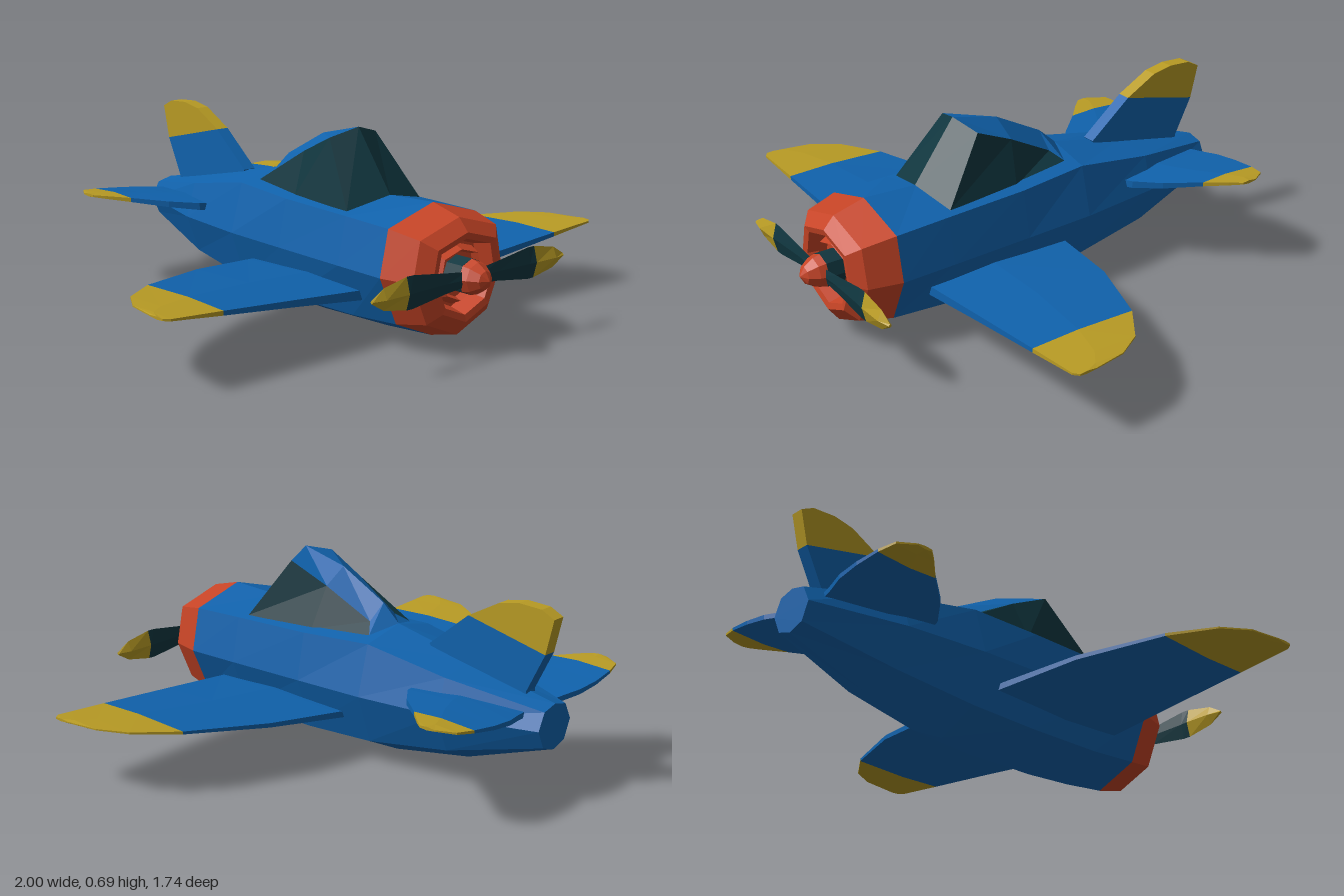
import * as THREE from 'three';

const BLUE = 0x1062ac, RED = 0xc64426, YELLOW = 0xb89b24, DARK = 0x10363f;

function makeMesh(name, geometry, color) {
  const material = new THREE.MeshStandardMaterial({ color, flatShading: true, side: THREE.DoubleSide });
  const mesh = new THREE.Mesh(geometry, material);
  mesh.name = name;
  return mesh;
}

function fromTriangles(points) {
  const geometry = new THREE.BufferGeometry();
  geometry.setAttribute('position', new THREE.Float32BufferAttribute(points.flat(), 3));
  geometry.computeVertexNormals();
  return geometry;
}

// Skin through equal-sized rings of points, closed at both ends
function loft(rings) {
  const tris = [], n = rings[0].length, last = rings[rings.length - 1];
  for (let i = 0; i < rings.length - 1; i++) {
    const a = rings[i], b = rings[i + 1];
    for (let j = 0; j < n; j++) {
      const k = (j + 1) % n;
      tris.push(a[j], b[j], b[k], a[j], b[k], a[k]);
    }
  }
  for (let j = 1; j < n - 1; j++) {
    tris.push(rings[0][0], rings[0][j], rings[0][j + 1]);
    tris.push(last[0], last[j + 1], last[j]);
  }
  return fromTriangles(tris);
}

// Flat polygons, each fanned from its first corner
function panels(polygons) {
  const tris = [];
  for (const p of polygons)
    for (let j = 1; j < p.length - 1; j++) tris.push(p[0], p[j], p[j + 1]);
  return fromTriangles(tris);
}

const mirrorRing = ring => ring.map(([x, y, z]) => [-x, y, z]).reverse();
const mirrorPolygon = mirrorRing;

// Eight-sided body section
const bodyRing = ([z, top, yu, xu, ym, xm, yl, xl, bottom]) => [
  [xm, ym, z], [xu, yu, z], [0, top, z], [-xu, yu, z],
  [-xm, ym, z], [-xl, yl, z], [0, bottom, z], [xl, yl, z]];

// Aerofoil section: blunt front, thickest at mid chord
function foilRing([x, y, front, back, t]) {
  const mid = front * 0.55 + back * 0.45;
  return [[x, y - t * 0.6, front], [x, y + t * 0.6, front], [x, y + t, mid],
    [x, y + t * 0.4, back], [x, y - t * 0.4, back], [x, y - t, mid]];
}

// Diamond section of a propeller blade
const bladeRing = ([x, y, h, t]) => [[x, y, 0.795 + t], [x, y + h, 0.795], [x, y, 0.795 - t], [x, y - h, 0.795]];

// Mirrored pair of surfaces with yellow tips starting at column `split`
function addPair(group, name, rings, split, color) {
  for (const [side, map] of [['left', r => r], ['right', mirrorRing]]) {
    const all = rings.map(map);
    group.add(makeMesh(side + name, loft(all.slice(0, split + 1)), color));
    group.add(makeMesh(side + name + 'Tip', loft(all.slice(split)), YELLOW));
  }
}

export function createModel() {
  const plane = new THREE.Group();
  plane.name = 'airplane';

  // Fuselage: z, top, shoulder y/x, waist y/x, chine y/x, bottom
  const nose = [0.61, 0.49, 0.43, 0.205, 0.27, 0.24, 0.1, 0.165, 0.03];
  const body = [
    nose,
    [0.4, 0.48, 0.435, 0.2, 0.27, 0.235, 0.085, 0.165, 0.015],
    [0.08, 0.485, 0.44, 0.19, 0.27, 0.225, 0.08, 0.165, 0.005],
    [-0.2, 0.488, 0.45, 0.165, 0.27, 0.215, 0.09, 0.155, 0.015],
    [-0.52, 0.42, 0.395, 0.14, 0.27, 0.18, 0.13, 0.125, 0.07],
    [-0.87, 0.35, 0.335, 0.06, 0.275, 0.09, 0.21, 0.06, 0.19]];
  plane.add(makeMesh('fuselage', loft(body.map(bodyRing)), BLUE));

  // Engine cowl with stepped intake
  const noseRing = bodyRing(nose);
  const cowlRing = (z, s, dy = 0) => noseRing.map(([x, y]) => [x * s, 0.27 + dy + (y - 0.27) * s, z]);
  plane.add(makeMesh('cowl', loft([
    cowlRing(0.72, 0.2), cowlRing(0.72, 0.34), cowlRing(0.745, 0.38), cowlRing(0.7, 0.46),
    cowlRing(0.7, 0.5), cowlRing(0.765, 0.56), cowlRing(0.77, 0.66),
    cowlRing(0.73, 0.87, -0.002), noseRing]), RED));

  // Canopy corners
  const ridge = [[0, 0.48, 0.405], [0, 0.695, 0.245], [0, 0.65, 0.06], [0, 0.55, -0.13], [0, 0.488, -0.2]];
  const rail = [[0.108, 0.665, 0.215], [0.09, 0.595, 0.06], [0.067, 0.495, -0.125]];
  const sill = [[0.172, 0.443, 0.375], [0.15, 0.445, 0.08], [0.112, 0.462, -0.16]];
  const windshield = [ridge[0], sill[0], rail[0], ridge[1]];
  const sideGlass = [[sill[0], sill[1], rail[1], rail[0]], [sill[1], sill[2], rail[2], rail[1]]];
  const roof = [
    [ridge[1], rail[0], rail[1], ridge[2]],
    [ridge[2], rail[1], rail[2], ridge[3]],
    [ridge[3], rail[2], sill[2], ridge[4]]];
  const both = list => [...list, ...list.map(mirrorPolygon)];
  plane.add(makeMesh('windshield', panels(both([windshield])), DARK));
  plane.add(makeMesh('sideWindows', panels(both(sideGlass)), DARK));
  plane.add(makeMesh('canopyRoof', panels(both(roof)), BLUE));

  // Wings: x, y, leading z, trailing z, half thickness
  addPair(plane, 'Wing', [
    [0.12, 0.17, 0.48, -0.12, 0.03],
    [0.22, 0.18, 0.48, -0.1, 0.028],
    [0.49, 0.205, 0.48, -0.045, 0.02],
    [0.78, 0.23, 0.48, 0.075, 0.013],
    [0.92, 0.242, 0.48, 0.18, 0.008],
    [0.98, 0.247, 0.48, 0.28, 0.006],
    [1, 0.248, 0.465, 0.4, 0.005]].map(foilRing), 3, BLUE);

  // Tailplane
  addPair(plane, 'Tailplane', [
    [0.06, 0.315, -0.37, -0.8, 0.025],
    [0.13, 0.322, -0.39, -0.815, 0.024],
    [0.2, 0.33, -0.41, -0.835, 0.022],
    [0.29, 0.34, -0.48, -0.84, 0.018],
    [0.385, 0.352, -0.59, -0.832, 0.013],
    [0.45, 0.36, -0.655, -0.815, 0.009],
    [0.485, 0.364, -0.695, -0.755, 0.006]].map(foilRing), 4, BLUE);

  // Fin, outlined as z, y
  const addFin = (name, outline, color) => {
    const shape = new THREE.Shape(outline.map(([z, y]) => new THREE.Vector2(-z, y)));
    const geometry = new THREE.ExtrudeGeometry(shape, { depth: 0.05, bevelEnabled: false });
    geometry.rotateY(Math.PI / 2).translate(-0.025, 0, 0);
    plane.add(makeMesh(name, geometry, color));
  };
  addFin('fin', [[-0.36, 0.455], [-0.4, 0.4], [-0.77, 0.32], [-0.77, 0.375], [-0.84, 0.515], [-0.525, 0.588]], BLUE);
  addFin('finTip', [[-0.525, 0.588], [-0.84, 0.515], [-0.87, 0.64], [-0.82, 0.665], [-0.73, 0.67], [-0.65, 0.655]], YELLOW);

  // Propeller: x, y, half height, half thickness
  addPair(plane, 'Blade', [
    [0.03, 0.268, 0.025, 0.008],
    [0.12, 0.27, 0.034, 0.006],
    [0.27, 0.27, 0.055, 0.012],
    [0.3, 0.27, 0.055, 0.015],
    [0.4, 0.27, 0.036, 0.016],
    [0.45, 0.27, 0.006, 0.006]].map(bladeRing), 3, DARK);

  // Hub and spinner
  const hub = new THREE.CylinderGeometry(0.062, 0.062, 0.08, 8);
  hub.rotateX(Math.PI / 2).translate(0, 0.27, 0.75);
  plane.add(makeMesh('propellerHub', hub, DARK));
  const profile = [[0, 0], [0.062, 0], [0.054, 0.03], [0.032, 0.065], [0, 0.083]];
  const spinner = new THREE.LatheGeometry(profile.map(p => new THREE.Vector2(...p)), 8);
  spinner.rotateX(Math.PI / 2).translate(0, 0.27, 0.787);
  plane.add(makeMesh('spinner', spinner, RED));

  return plane;
}
